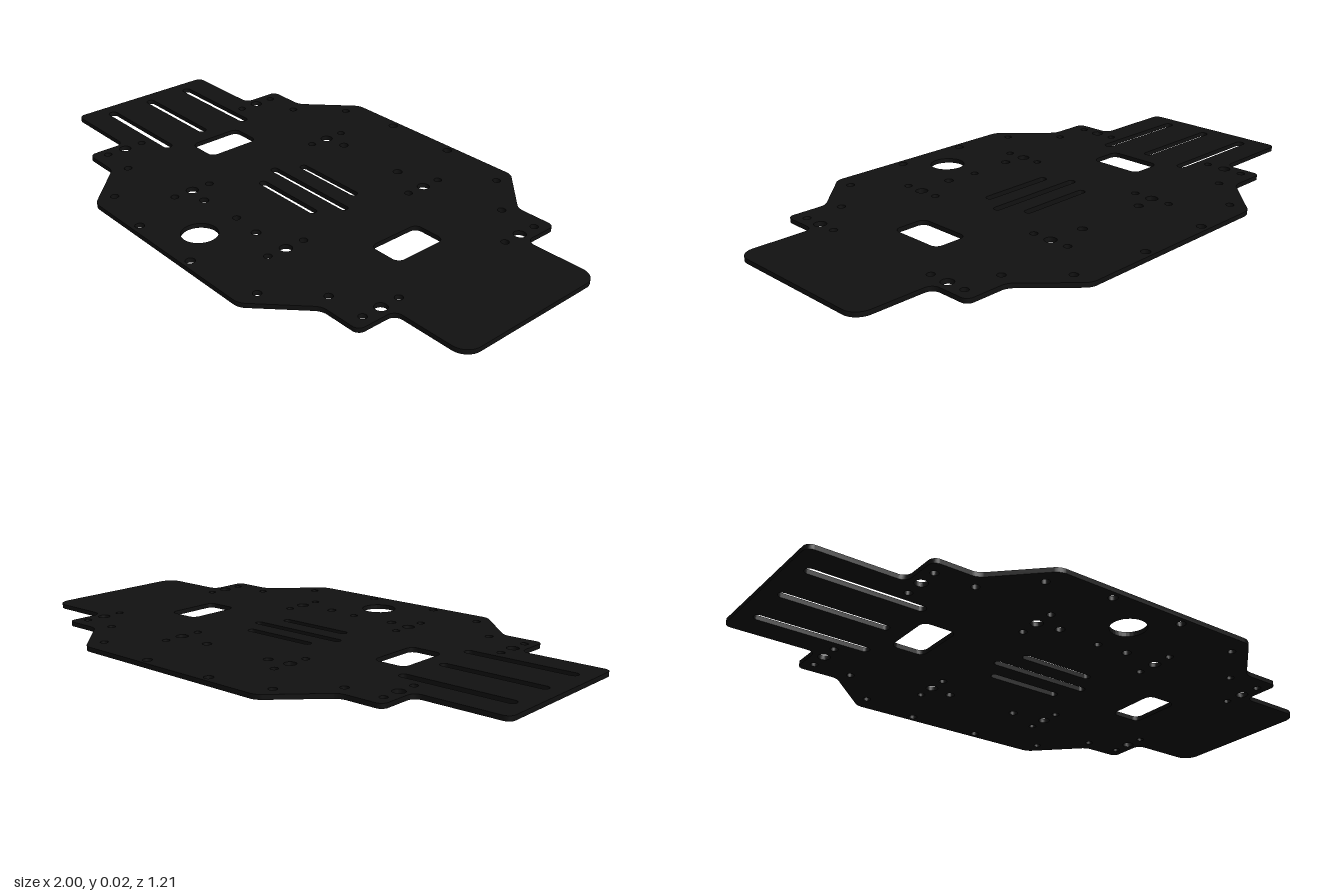
import * as THREE from 'three';

const THICKNESS = 0.016;

// Closed path through [x, y, cornerSize] points with rounded corners
function roundedPath(points, path) {
  const n = points.length;
  points.forEach(([x, y, r], i) => {
    const corner = new THREE.Vector2(x, y);
    const toward = ([px, py]) => new THREE.Vector2(px, py).sub(corner).normalize();
    const a = toward(points[(i + n - 1) % n]);
    const b = toward(points[(i + 1) % n]);
    const at = (dir, d) => corner.clone().addScaledVector(dir, d);
    const start = at(a, r), c1 = at(a, r * 0.448), c2 = at(b, r * 0.448), end = at(b, r);
    if (i === 0) path.moveTo(start.x, start.y);
    else path.lineTo(start.x, start.y);
    path.bezierCurveTo(c1.x, c1.y, c2.x, c2.y, end.x, end.y);
  });
  path.closePath();
  return path;
}

function roundHole(x, z, r) {
  return new THREE.Path().absarc(x, -z, r, 0, Math.PI * 2, true);
}

function slot(x0, x1, z, r) {
  const path = new THREE.Path();
  path.absarc(x1 - r, -z, r, -Math.PI / 2, Math.PI / 2, false);
  path.absarc(x0 + r, -z, r, Math.PI / 2, Math.PI * 1.5, false);
  path.closePath();
  return path;
}

function windowHole(x0, x1, h, r) {
  return roundedPath([[x0, -h, r], [x1, -h, r], [x1, h, r], [x0, h, r]], new THREE.Path());
}

export function createModel() {
  const group = new THREE.Group();
  group.name = 'chassis';

  // Half outline from the right end to the left end, mirrored across the long axis
  const half = [
    [1, 0.29, 0.055], [0.73, 0.29, 0.03], [0.73, 0.433, 0.025], [0.58, 0.433, 0.02], [0.409, 0.603, 0.02],
    [-0.361, 0.603, 0.02], [-0.532, 0.433, 0.02], [-0.683, 0.433, 0.025], [-0.683, 0.29, 0.03], [-1, 0.29, 0.025],
  ];
  const mirrored = half.map(([x, y, r]) => [x, -y, r]).reverse();
  const shape = roundedPath([...half, ...mirrored], new THREE.Shape());

  // Mounting holes, mirrored front to back
  for (const side of [-1, 1]) {
    for (const x of [-0.644, -0.225, 0.27, 0.69]) {
      shape.holes.push(
        roundHole(x, side * 0.379, 0.0135),
        roundHole(x, side * 0.307, 0.021),
        roundHole(x, side * 0.235, 0.0135),
      );
    }
    for (const [x, z, r] of [
      [-0.361, 0.53, 0.014], [0.406, 0.53, 0.014], [-0.142, 0.574, 0.016], [0.136, 0.574, 0.016],
      [-0.506, 0.383, 0.014], [0.552, 0.383, 0.014], [-0.142, 0.318, 0.016], [0.136, 0.318, 0.016],
    ]) shape.holes.push(roundHole(x, side * z, r));

    // Outer strap slots and centre slots
    shape.holes.push(slot(-0.95, -0.547, side * 0.175, 0.017), slot(-0.12, 0.164, side * 0.092, 0.014));
  }

  // Middle slots, battery windows, large opening and its pilot hole
  shape.holes.push(
    slot(-0.95, -0.573, 0, 0.016),
    slot(-0.17, 0.216, 0, 0.014),
    windowHole(-0.511, -0.388, 0.102, 0.026),
    windowHole(0.433, 0.556, 0.102, 0.026),
    roundHole(0.022, 0.456, 0.061),
    roundHole(0.022, 0.308, 0.0135),
  );

  const geometry = new THREE.ExtrudeGeometry(shape, { depth: THICKNESS, bevelEnabled: false, curveSegments: 16 });
  geometry.rotateX(-Math.PI / 2);
  const plate = new THREE.Mesh(geometry, new THREE.MeshStandardMaterial({ color: 0x111111 }));
  plate.name = 'basePlate';
  group.add(plate);
  return group;
}
